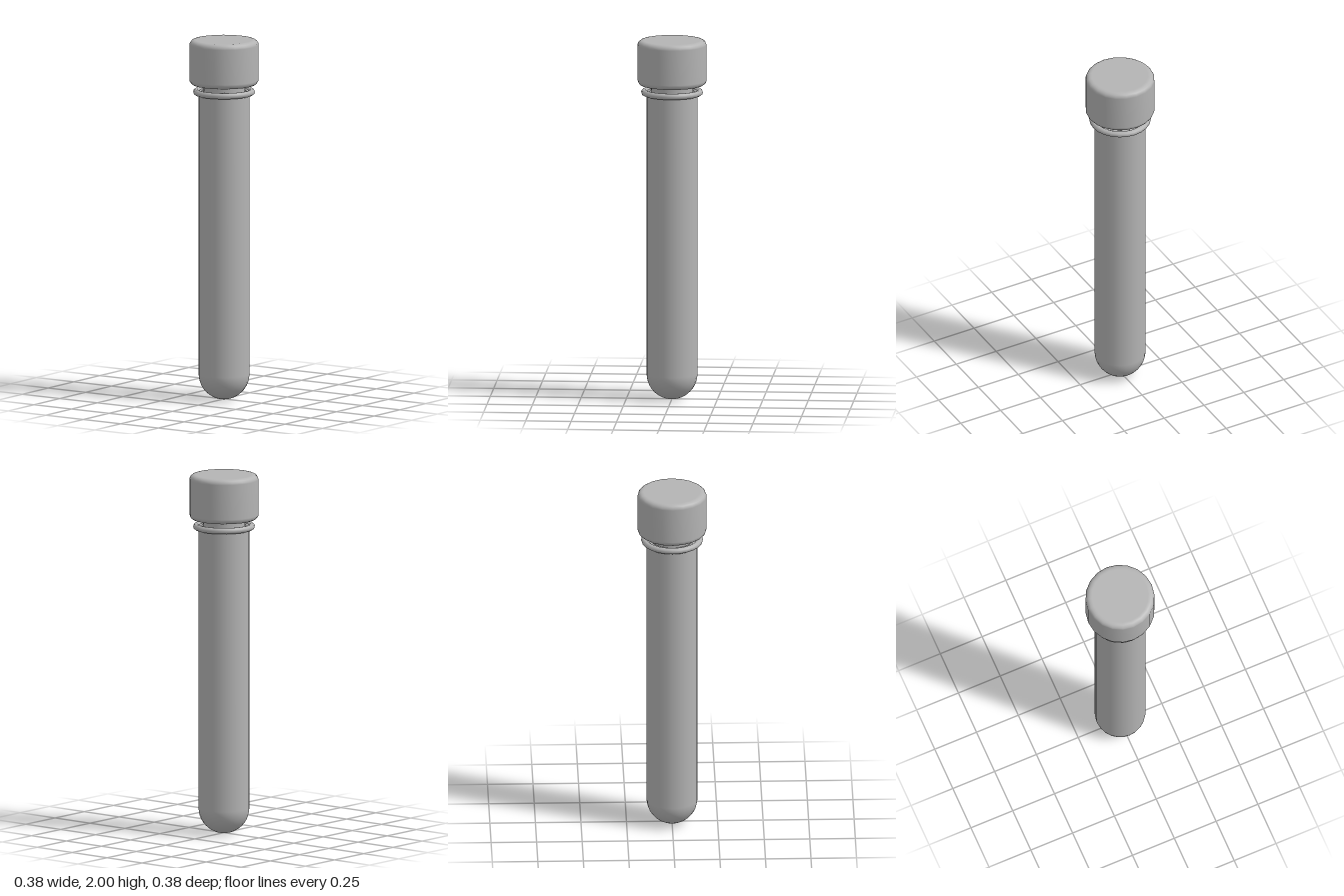
import * as THREE from 'three';

export function createModel() {
  const model = new THREE.Group();
  const grey = new THREE.MeshStandardMaterial({ color: 0xb4b4b4 });
  grey.name = 'grey';

  const add = (name, geometry, y = 0) => {
    const mesh = new THREE.Mesh(geometry, grey);
    mesh.name = name;
    mesh.position.y = y;
    model.add(mesh);
    return mesh;
  };
  const points = (list) => list.map(([x, y]) => new THREE.Vector2(x, y));

  // Quarter arc of a round tube bottom, from the axis out to the wall
  const roundBottom = (radius, centreY, steps = 10) => {
    const arc = [];
    for (let i = 0; i <= steps; i++) {
      const a = (i / steps) * Math.PI / 2;
      arc.push([radius * Math.sin(a), centreY - radius * Math.cos(a)]);
    }
    return arc;
  };

  // Hollow glass tube: outer wall up, over the lip, inner wall back down
  const R = 0.14, r = 0.122, top = 1.715;
  add('tubeOuterWall', new THREE.LatheGeometry(points([...roundBottom(R, R), [R, top]]), 24));
  add('tubeInnerWall', new THREE.LatheGeometry(points([[r, top], ...roundBottom(r, R).reverse()]), 24));
  const lip = new THREE.RingGeometry(r, R, 24);
  lip.rotateX(-Math.PI / 2);
  add('tubeLip', lip, top);

  // Rolled rim round the mouth
  const rim = new THREE.TorusGeometry(0.153, 0.017, 10, 24);
  rim.rotateX(Math.PI / 2);
  add('rim', rim, 1.71);

  // Stopper plug that enters the tube
  add('plug', new THREE.CylinderGeometry(0.115, 0.115, 0.16, 20), 1.68);

  // Cap with rounded upper and lower edges
  const capProfile = [[0, 1.75], [0.16, 1.75]];
  const bevel = 0.028, capR = 0.19;
  for (const [centreY, start] of [[1.75 + bevel, -Math.PI / 2], [2 - bevel, 0]]) {
    for (let i = 0; i <= 4; i++) {
      const a = start + (i / 4) * Math.PI / 2;
      capProfile.push([capR - bevel + bevel * Math.cos(a), centreY + bevel * Math.sin(a)]);
    }
  }
  capProfile.push([0.155, 2], [0, 2]);
  add('cap', new THREE.LatheGeometry(points(capProfile), 20));

  return model;
}
